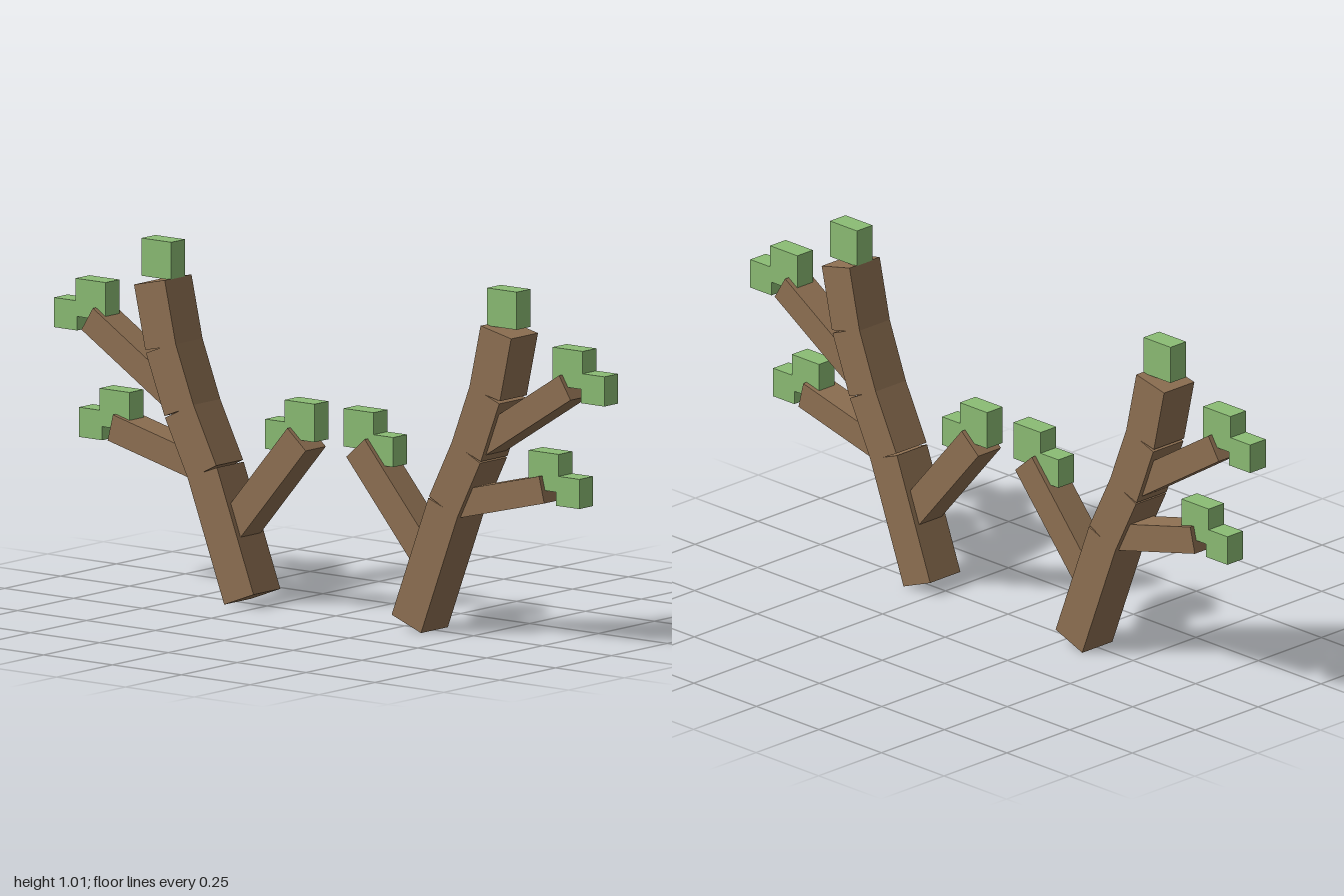
import * as THREE from 'three';

export function createModel() {
  const model = new THREE.Group();
  const bark = new THREE.MeshStandardMaterial({ color: 0x8e7052 });
  bark.name = 'brown bark';
  const leaf = new THREE.MeshStandardMaterial({ color: 0x8bbc74 });
  leaf.name = 'leaf green';

  // Square-ended beam between two points in the front plane
  function beam(group, name, [x0, y0], [x1, y1], width, depth) {
    const dx = x1 - x0, dy = y1 - y0;
    const mesh = new THREE.Mesh(new THREE.BoxGeometry(width, Math.hypot(dx, dy), depth), bark);
    mesh.position.set((x0 + x1) / 2, (y0 + y1) / 2, 0);
    mesh.rotation.z = -Math.atan2(dx, dy);
    mesh.name = name;
    group.add(mesh);
  }

  function leafBlock(group, name, x, y, size) {
    const mesh = new THREE.Mesh(new THREE.BoxGeometry(size, size, 0.062), leaf);
    mesh.position.set(x, y, 0);
    mesh.name = name;
    group.add(mesh);
  }

  // side: 1 = the model's left (+x), -1 = its right
  function antler(side, name) {
    const group = new THREE.Group();
    group.name = name;
    const at = ([x, y]) => [x * side, y];

    // Bent trunk of four straight segments
    const trunk = [[0.304, 0.021], [0.437, 0.37], [0.521, 0.537], [0.588, 0.71], [0.629, 0.893]];
    for (let i = 0; i < 4; i++) {
      beam(group, 'trunkSegment' + (i + 1), at(trunk[i]), at(trunk[i + 1]), 0.114, 0.12);
    }

    // Side branches
    beam(group, 'lowerBranch', at([0.44, 0.372]), at([0.783, 0.457]), 0.078, 0.09);
    beam(group, 'upperBranch', at([0.517, 0.54]), at([0.867, 0.759]), 0.078, 0.09);
    beam(group, 'innerBranch', at([0.357, 0.21]), at([0.107, 0.5]), 0.088, 0.09);

    // Leaf blocks at the tips: [name, x, y, size]
    const leaves = [
      ['topLeaf', 0.627, 0.956, 0.108],
      ['upperLeaf', 0.866, 0.813, 0.109], ['upperSmallLeaf', 0.957, 0.761, 0.085],
      ['lowerLeaf', 0.779, 0.508, 0.109], ['lowerSmallLeaf', 0.866, 0.457, 0.085],
      ['innerLeaf', 0.107, 0.551, 0.109], ['innerSmallLeaf', 0.19, 0.5, 0.085],
    ];
    for (const [part, x, y, size] of leaves) leafBlock(group, part, x * side, y, size);
    model.add(group);
  }

  antler(1, 'leftAntler');
  antler(-1, 'rightAntler');
  return model;
}
